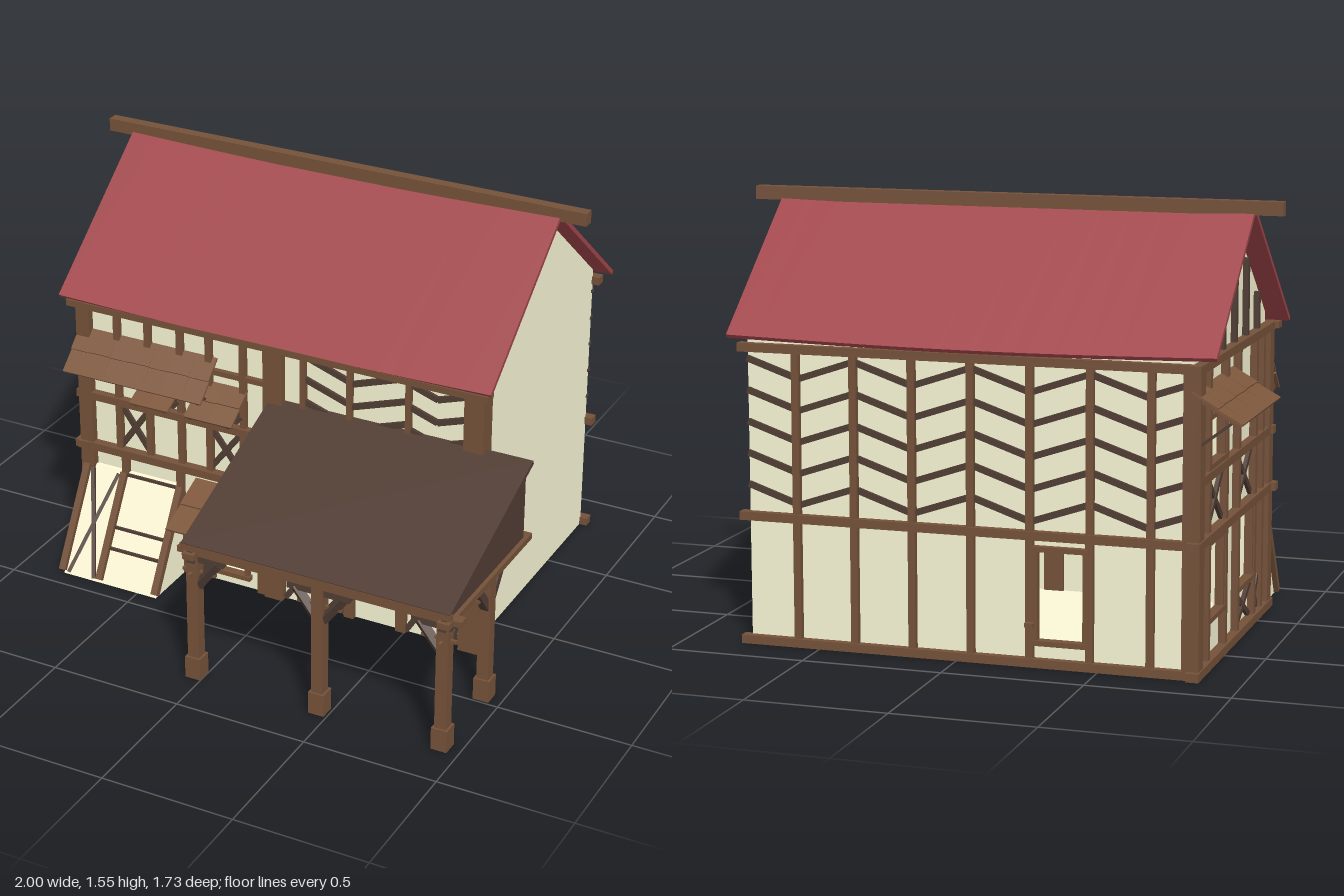
import * as THREE from 'three';

const mat = (color) => new THREE.MeshStandardMaterial({ color });
const WALL = mat(0xfaf8d6), CREAM = mat(0xfffad8), WOOD = mat(0x75523a), DARK = mat(0x503d34);
const RED = mat(0xa0454a), PORCH = mat(0x503c33), PLANK = mat(0x7d573c);

function add(parent, name, geometry, material) {
  const mesh = new THREE.Mesh(geometry, material);
  mesh.name = name;
  parent.add(mesh);
  return mesh;
}

// Box given by its limits
function box(parent, name, x0, x1, y0, y1, z0, z1, material = WOOD) {
  const m = add(parent, name, new THREE.BoxGeometry(x1 - x0, y1 - y0, z1 - z0), material);
  m.position.set((x0 + x1) / 2, (y0 + y1) / 2, (z0 + z1) / 2);
}

// Straight timber between two points
function beam(parent, name, a, b, w, material = WOOD) {
  const p = new THREE.Vector3(...a), q = new THREE.Vector3(...b);
  const m = add(parent, name, new THREE.BoxGeometry(w, w, p.distanceTo(q)), material);
  m.position.copy(p).add(q).multiplyScalar(0.5);
  m.quaternion.setFromUnitVectors(new THREE.Vector3(0, 0, 1), q.sub(p).normalize());
}

// Flat bar on a wall, in the wall's own plane
function bar(wall, name, u1, v1, u2, v2, w = 0.025, depth = 0.02, material = WOOD) {
  const m = add(wall, name, new THREE.BoxGeometry(Math.hypot(u2 - u1, v2 - v1), w, depth + 0.01), material);
  m.position.set((u1 + u2) / 2, (v1 + v2) / 2, (depth - 0.01) / 2);
  m.rotation.z = Math.atan2(v2 - v1, u2 - u1);
}

function cross(wall, u0, u1, v0, v1, w = 0.022) {
  bar(wall, 'crossBrace', u0, v0, u1, v1, w, 0.014, DARK);
  bar(wall, 'crossBrace', u0, v1, u1, v0, w, 0.012, DARK);
}

// Rows of slanting braces whose direction alternates from bay to bay
function chevrons(wall, studs, v0, v1, rows) {
  for (let i = 0; i + 1 < studs.length; i++) {
    const rise = (i % 2 ? 0.17 : -0.17) * (studs[i + 1] - studs[i]);
    for (let r = 0; r < rows; r++) {
      const v = v0 + (v1 - v0) * (r + 0.5) / rows;
      bar(wall, 'chevronBrace', studs[i], v - rise, studs[i + 1], v + rise, 0.022, 0.012, DARK);
    }
  }
}

// Thin plaster panel with framed window openings [u0, u1, v0, v1]
function plaster(wall, outline, openings = []) {
  const toPoints = (list) => list.map(([u, v]) => new THREE.Vector2(u, v));
  const shape = new THREE.Shape(toPoints(outline));
  for (const [u0, u1, v0, v1] of openings) {
    shape.holes.push(new THREE.Path(toPoints([[u0, v0], [u0, v1], [u1, v1], [u1, v0]])));
    for (const u of [u0, u1]) bar(wall, 'windowJamb', u, v0, u, v1, 0.016, 0.02);
    for (const v of [v0, v1]) bar(wall, 'windowRail', u0 - 0.015, v, u1 + 0.015, v, 0.018, 0.025);
  }
  const g = new THREE.ExtrudeGeometry(shape, { depth: 0.02, bevelEnabled: false });
  add(wall, 'plaster', g.translate(0, 0, -0.02), WALL);
}

// Prism from a z-y profile, stretched along x
function prism(parent, name, points, x0, x1, material) {
  const shape = new THREE.Shape(points.map(([z, y]) => new THREE.Vector2(-z, y)));
  const g = new THREE.ExtrudeGeometry(shape, { depth: x1 - x0, bevelEnabled: false });
  add(parent, name, g.rotateY(Math.PI / 2).translate(x0, 0, 0), material);
}

// Sloping board between two z-y points
function slab(parent, name, x0, x1, [za, ya], [zb, yb], t, material, segments = 1) {
  const g = new THREE.BoxGeometry(x1 - x0, t, Math.hypot(zb - za, yb - ya), segments, 1, 1);
  g.rotateX(-Math.atan2(yb - ya, zb - za));
  g.translate((x0 + x1) / 2, (ya + yb) / 2, (za + zb) / 2);
  return add(parent, name, g, material);
}

// Plank canopy in two overlapping rows, with side braces
function awning(wall, u0, u1, top, bottom, depth, drop) {
  const g = new THREE.Group();
  g.name = 'awning';
  wall.add(g);
  const n = Math.round((u1 - u0) / 0.08), s = (u1 - u0) / n, mid = (top + bottom) / 2;
  for (let i = 0; i < n; i++) {
    const a = u0 + i * s, lift = 0.002 * (i % 2);
    slab(g, 'upperPlank', a, a + s, [0, top], [depth * 0.52, mid + lift], 0.008, PLANK);
    slab(g, 'lowerPlank', a, a + s, [depth * 0.45, mid + lift], [depth, bottom], 0.008, PLANK);
  }
  for (const u of [u0 + 0.02, u1 - 0.02]) {
    beam(g, 'awningRafter', [u, top - 0.012, 0], [u, bottom - 0.008, depth - 0.01], 0.012);
    beam(g, 'awningBrace', [u, bottom - drop, 0.01], [u, bottom + 0.01, depth - 0.03], 0.01, DARK);
  }
}

function makeWall(parent, name, x, z, turn) {
  const g = new THREE.Group();
  g.name = name;
  g.position.set(x, 0, z);
  g.rotation.y = turn;
  parent.add(g);
  return g;
}

function frontWall(house) {
  const w = makeWall(house, 'frontWall', 0, 0.2, 0);
  plaster(w, [[-0.82, 0], [0.76, 0], [0.76, 1.08], [-0.82, 1.08]], [[-0.335, -0.15, 0.05, 0.36]]);
  box(w, 'cornerPost', -0.85, -0.795, 0, 1.06, -0.03, 0.03);
  box(w, 'middlePost', -0.07, 0.005, 0, 1.06, -0.03, 0.03);
  box(w, 'rightPost', 0.72, 0.796, 0, 1.06, -0.04, 0.03);
  box(w, 'topPlate', -0.87, 0.82, 1.035, 1.06, 0.01, 0.06);
  bar(w, 'rail', -0.86, 0.665, -0.07, 0.665, 0.03, 0.03);
  bar(w, 'rail', -0.87, 0.455, -0.07, 0.455, 0.03, 0.035);
  bar(w, 'rail', 0, 0.445, 0.72, 0.445, 0.05, 0.025);
  bar(w, 'rail', -0.41, 0.115, -0.345, 0.115);
  bar(w, 'rail', -0.14, 0.115, -0.07, 0.115);
  bar(w, 'rail', -0.3, 0.88, -0.07, 0.88, 0.02);
  for (const u of [-0.685, -0.555, -0.42, -0.3, -0.16]) bar(w, 'stud', u, 0.46, u, 1.04);
  for (const u of [-0.665, -0.43, -0.09]) bar(w, 'stud', u, 0, u, 0.45, 0.028);
  cross(w, -0.68, -0.56, 0.48, 0.65);
  cross(w, -0.3, -0.17, 0.48, 0.65);
  const studs = [0.085, 0.27, 0.5, 0.61, 0.72];
  for (const u of studs.slice(0, 3)) bar(w, 'stud', u, 0.46, u, 1.04, 0.02);
  chevrons(w, studs, 0.5, 1.04, 6);
  for (const u of [0.275, 0.485]) bar(w, 'stud', u, 0, u, 0.42, 0.04);
  // Barn doors
  for (const [a, b] of [[0.01, 0.25], [0.505, 0.715]]) {
    cross(w, a, b, 0.01, 0.35);
    bar(w, 'doorHead', a, 0.355, b, 0.355, 0.015, 0.015, DARK);
  }
  // Canopies and window lattices
  awning(w, -0.37, -0.12, 0.41, 0.31, 0.23, 0.03);
  awning(w, -0.85, -0.27, 0.93, 0.8, 0.13, 0.04);
  for (const [a, b, t] of [[-0.57, -0.41, 0.8], [-0.34, -0.145, 0.83]]) {
    awning(w, a, b, t, 0.735, 0.13, 0.02);
    for (let i = 0; i < 6; i++) {
      const u = a + 0.03 + i * (b - a - 0.06) / 5;
      bar(w, 'latticeBar', u, 0.7, u, 0.78, 0.006, 0.03, DARK);
    }
    for (const v of [0.7, 0.72]) bar(w, 'latticeRail', a + 0.03, v, b - 0.03, v, 0.006, 0.03, DARK);
  }
}

function backWall(house) {
  const w = makeWall(house, 'backWall', 0, -0.82, Math.PI);
  plaster(w, [[-0.76, 0], [0.82, 0], [0.82, 1.075], [-0.76, 1.075]], [[0.28, 0.455, 0.085, 0.41]]);
  for (const v of [0.015, 0.455, 1.045]) bar(w, 'rail', -0.79, v, 0.85, v, 0.03, 0.028);
  const studs = [-0.76, -0.58, -0.37, -0.16, 0.05, 0.26, 0.47, 0.68, 0.83];
  for (const u of studs.slice(1)) bar(w, 'stud', u, 0.01, u, 1.04, 0.026, 0.022);
  chevrons(w, studs, 0.48, 1.03, 5);
  bar(w, 'windowSill', 0.25, 0.15, 0.28, 0.15, 0.015, 0.045);
}

const GABLE = [[-0.82, 0], [0.2, 0], [0.2, 1.098], [-0.31, 1.508], [-0.82, 1.088]];

function leftWall(house) {
  const w = makeWall(house, 'leftWall', -0.82, 0, -Math.PI / 2);
  plaster(w, GABLE, [[-0.66, -0.46, 0.16, 0.43], [-0.24, -0.03, 0.17, 0.44], [-0.66, -0.46, 0.69, 0.86]]);
  for (const v of [0.015, 0.455, 1.045]) bar(w, 'rail', -0.865, v, 0.24, v, 0.03, 0.035);
  bar(w, 'rail', -0.84, 0.665, 0.2, 0.665, 0.03, 0.03);
  box(w, 'cornerPost', -0.845, -0.78, 0, 1.06, -0.03, 0.03);
  for (const u of [-0.68, -0.44, -0.26, -0.01, 0.1]) bar(w, 'stud', u, 0.01, u, 1.04, 0.028, 0.025);
  for (const u of [-0.65, -0.48, -0.31, -0.14, 0.03]) bar(w, 'gableStud', u, 1.05, u, 1.47 - Math.abs(u + 0.31) * 0.82, 0.025, 0.02, DARK);
  cross(w, -0.66, -0.46, 0.48, 0.65);
  cross(w, -0.24, -0.03, 0.48, 0.65);
  cross(w, -0.24, -0.03, 0.03, 0.15);
  cross(w, 0, 0.09, 0.03, 0.15);
  awning(w, -0.85, -0.29, 0.97, 0.87, 0.17, 0.09);
}

function mainRoof(house) {
  const halves = [
    slab(house, 'frontRoof', -0.9, 0.83, [0.255, 1.065], [-0.315, 1.52], 0.016, RED, 16),
    slab(house, 'backRoof', -0.9, 0.83, [-0.84, 1.08], [-0.305, 1.52], 0.016, RED, 16),
  ];
  // Slight sag towards the middle
  for (const { geometry } of halves) {
    const p = geometry.attributes.position;
    for (let i = 0; i < p.count; i++) p.setY(i, p.getY(i) - 0.014 * Math.cos(Math.PI * (p.getX(i) + 0.035) / 1.73));
    geometry.computeVertexNormals();
  }
  box(house, 'ridgeBeam', -1, 0.93, 1.5, 1.548, -0.335, -0.293);
}

function porch(house) {
  const g = new THREE.Group();
  g.name = 'porch';
  house.add(g);
  slab(g, 'porchRoof', -0.05, 0.973, [0.2, 0.82], [0.86, 0.56], 0.016, PORCH);
  for (const x of [-0.035, 0.935]) {
    prism(g, 'porchGable', [[0.22, 0.52], [0.85, 0.52], [0.85, 0.562], [0.22, 0.811]], x, x + 0.02, PORCH);
    box(g, 'sideBeam', x - 0.01, x + 0.035, 0.505, 0.528, 0.18, 0.865);
  }
  box(g, 'frontBeam', -0.085, 1, 0.506, 0.528, 0.79, 0.83);
  box(g, 'eaveBoard', -0.055, 0.975, 0.54, 0.565, 0.845, 0.862);
  const xs = [-0.03, 0.46, 0.93];
  for (const [x, z] of [...xs.map((v) => [v, 0.805]), [0.93, 0.461]]) {
    const row = z > 0.6;
    box(g, 'post', x - 0.022, x + 0.022, 0, 0.51, z - 0.022, z + 0.022);
    box(g, 'postFoot', x - 0.03, x + 0.03, 0, 0.085, z - 0.03, z + 0.03);
    // Brackets reach along the beams that each post carries
    const arms = [];
    if (row && x > 0) arms.push([-1, 0]);
    if (row && x < 0.9) arms.push([1, 0]);
    if (x !== 0.46) arms.push([0, -1]);
    if (!row) arms.push([0, 1]);
    for (const [dx, dz] of arms) {
      const at = (r, y) => [x + dx * r, y, z + dz * r];
      beam(g, 'bracketTop', at(-0.03, 0.49), at(0.12, 0.49), 0.03, DARK);
      beam(g, 'kneeBrace', at(0.01, 0.375), at(0.095, 0.485), 0.03, DARK);
      beam(g, 'bracePeg', at(-0.045, 0.43), at(0.085, 0.43), 0.012);
    }
  }
}

function leanTo(house) {
  const g = new THREE.Group();
  g.name = 'leanTo';
  house.add(g);
  prism(g, 'leaningPanel', [[0.2, 0], [0.43, 0], [0.215, 0.37], [0.2, 0.37]], -0.82, -0.42, CREAM);
  const at = (x, y) => [x, y, 0.435 - y * 0.575];
  for (const x of [-0.825, -0.665, -0.425]) beam(g, 'leaningBeam', at(x, 0.012), at(x, 0.37), 0.026);
  beam(g, 'panelCross', at(-0.8, 0.01), at(-0.69, 0.36), 0.014, DARK);
  beam(g, 'panelCross', at(-0.8, 0.36), at(-0.69, 0.01), 0.014, DARK);
  for (const y of [0.12, 0.19, 0.365]) beam(g, 'panelRail', at(-0.66, y), at(-0.43, y), 0.01, DARK);
}

export function createModel() {
  const house = new THREE.Group();
  house.name = 'timberHouse';
  box(house, 'floor', -0.81, 0.75, 0, 0.01, -0.81, 0.19, WALL);
  frontWall(house);
  backWall(house);
  leftWall(house);
  const right = makeWall(house, 'rightWall', 0.76, 0, Math.PI / 2);
  plaster(right, GABLE.map(([u, v]) => [-u, v]).reverse());
  mainRoof(house);
  porch(house);
  leanTo(house);
  return house;
}
